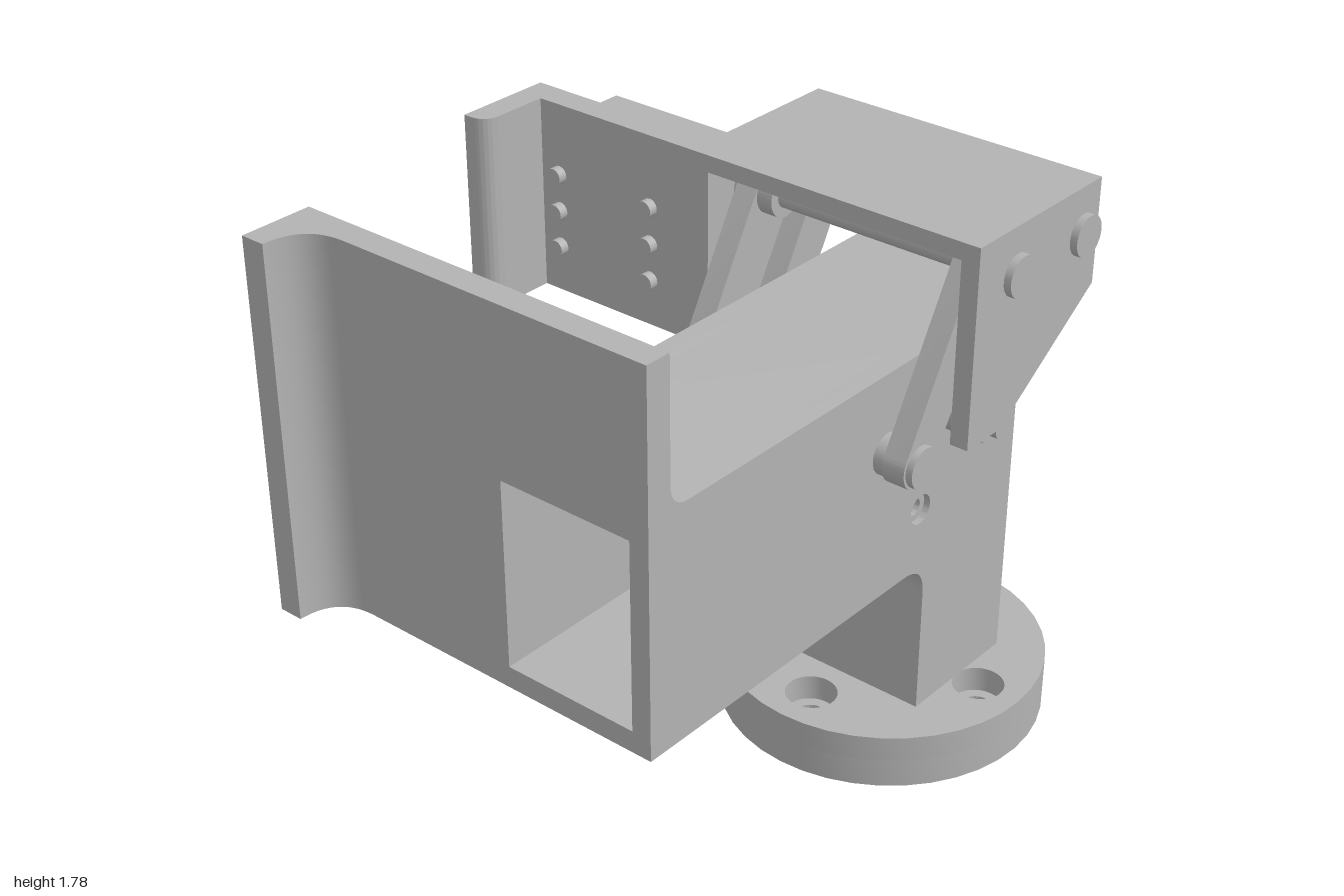
import * as THREE from 'three';
import { toCreasedNormals } from 'three/addons/utils/BufferGeometryUtils.js';

export function createModel() {
  const model = new THREE.Group();
  model.name = 'linkageGripper';
  const grey = new THREE.MeshStandardMaterial({ color: 0xb3b3b3 });
  grey.name = 'machined grey';

  const add = (name, geo) => {
    const m = new THREE.Mesh(geo, grey);
    m.name = name;
    model.add(m);
    return m;
  };
  // box given by its limits
  const box = (name, x0, x1, y0, y1, z0, z1) =>
    add(name, new THREE.BoxGeometry(x1 - x0, y1 - y0, z1 - z0)
      .translate((x0 + x1) / 2, (y0 + y1) / 2, (z0 + z1) / 2));
  // cylinder along z
  const pin = (name, x, y, z0, z1, r) =>
    add(name, new THREE.CylinderGeometry(r, r, z1 - z0, 28).rotateX(Math.PI / 2)
      .translate(x, y, (z0 + z1) / 2));
  // cylinder along x
  const pinX = (name, x0, x1, y, z, r) =>
    add(name, new THREE.CylinderGeometry(r, r, x1 - x0, 20).rotateZ(Math.PI / 2)
      .translate((x0 + x1) / 2, y, z));

  const circle = (x, y, r) => new THREE.Path().absarc(x, y, r, 0, Math.PI * 2, true);
  const poly = (pts) => new THREE.Shape(pts.map(([x, y]) => new THREE.Vector2(x, y)));
  const rectHole = (x0, x1, y0, y1) => new THREE.Path(
    [[x0, y0], [x0, y1], [x1, y1], [x1, y0]].map(([x, y]) => new THREE.Vector2(x, y)));
  const extrude = (shape, depth, holes = []) => {
    shape.holes.push(...holes);
    return toCreasedNormals(new THREE.ExtrudeGeometry(shape,
      { depth, bevelEnabled: false, curveSegments: 20 }), 0.6);
  };
  // profile in x,y pushed along z
  const alongZ = (name, shape, z0, z1, holes) =>
    add(name, extrude(shape, z1 - z0, holes).translate(0, 0, z0));
  // profile in x,z pushed along y
  const alongY = (name, shape, y0, y1, holes) =>
    add(name, extrude(shape, y1 - y0, holes).rotateX(Math.PI / 2).translate(0, y1, 0));
  // profile in z,y pushed along x
  const alongX = (name, shape, x0, x1, holes) =>
    add(name, extrude(shape, x1 - x0, holes).rotateY(-Math.PI / 2).translate(x1, 0, 0));

  // Round base flange with counterbored bolt holes
  const cx = 0.51, cz = 0.31;
  const disc = () => new THREE.Shape().absarc(cx, cz, 0.488, 0, Math.PI * 2, false);
  const bolts = (r) => [0, 1, 2, 3].map((i) =>
    circle(cx + 0.348 * Math.cos(i * Math.PI / 2), cz + 0.348 * Math.sin(i * Math.PI / 2), r));
  alongY('baseFlangeLower', disc(), 0, 0.09, [circle(cx, cz, 0.135), ...bolts(0.045)]);
  alongY('baseFlangeUpper', disc(), 0.09, 0.17, [circle(cx, cz, 0.135), ...bolts(0.077)]);

  // Hollow arm and column: two side walls, a floor and a roof
  const wall = (cut) => {
    const s = new THREE.Shape();
    s.moveTo(-0.78, 0.665);
    s.lineTo(0.2, 0.665);
    s.quadraticCurveTo(0.3, 0.665, 0.3, 0.565);
    s.lineTo(0.3, 0.17);
    s.lineTo(0.715, 0.17);
    if (cut) {
      s.lineTo(0.715, 0.96);
      s.lineTo(0.3, 0.96);
      s.lineTo(0.3, 1.29);
      s.lineTo(0.715, 1.29);
    }
    s.lineTo(0.715, 1.36);
    s.lineTo(-0.71, 1.36);
    s.quadraticCurveTo(-0.78, 1.36, -0.78, 1.43);
    s.closePath();
    return s;
  };
  const screwHoles = (r) => [circle(0.265, 0.86, r), circle(0.265, 1.13, r)];
  alongZ('frontWallOuter', wall(false), 0.565, 0.585, screwHoles(0.045));
  alongZ('frontWallInner', wall(false), 0.525, 0.565, screwHoles(0.025));
  alongZ('backWall', wall(true), 0.025, 0.105, screwHoles(0.025));
  const floor = new THREE.Shape();
  floor.moveTo(-0.78, 0.665);
  floor.lineTo(0.2, 0.665);
  floor.quadraticCurveTo(0.3, 0.665, 0.3, 0.565);
  floor.lineTo(0.3, 0.17);
  floor.lineTo(0.715, 0.17);
  floor.lineTo(0.715, 0.69);
  floor.lineTo(0.32, 0.69);
  floor.lineTo(0.32, 0.73);
  floor.lineTo(-0.78, 0.73);
  alongZ('armFloor', floor, 0.105, 0.525);
  const roof = new THREE.Shape();
  roof.moveTo(-0.78, 1.29);
  roof.lineTo(0.715, 1.29);
  roof.lineTo(0.715, 1.36);
  roof.lineTo(-0.71, 1.36);
  roof.quadraticCurveTo(-0.78, 1.36, -0.78, 1.43);
  alongZ('armRoof', roof, 0.105, 0.525);

  // Fixed end plate with its window, hooked rear edge and fillet to the arm
  alongX('endPlate', poly([[0.025, 0.665], [0.585, 0.665], [0.585, 1.78], [0.025, 1.78]]),
    -0.86, -0.78, [rectHole(0.105, 0.525, 0.73, 1.29)]);
  const hook = new THREE.Shape();
  hook.moveTo(-0.78, 0.025);
  hook.lineTo(-0.86, 0.025);
  hook.lineTo(-0.86, -0.4);
  hook.quadraticCurveTo(-0.86, -0.54, -1, -0.54);
  hook.lineTo(-1, -0.615);
  hook.lineTo(-0.78, -0.615);
  alongY('endPlateHook', hook, 0.665, 1.78);
  const fillet = new THREE.Shape();
  fillet.moveTo(-0.78, 0.025);
  fillet.lineTo(-0.78, -0.045);
  fillet.quadraticCurveTo(-0.78, 0.025, -0.71, 0.025);
  alongY('endPlateFillet', fillet, 0.665, 1.36);

  // Servo with mounting ears, held between two blocks
  box('servoBody', 0.3, 0.5, 0.81, 1.2, 0.1, 0.475);
  box('servoEars', 0.3, 0.5, 0.735, 1.285, 0.2, 0.225);
  box('lowerServoMount', 0.32, 0.715, 0.69, 0.81, 0.225, 0.37);
  box('upperServoMount', 0.32, 0.715, 1.2, 1.29, 0.225, 0.37);
  pin('servoShaft', 0.4, 1.115, 0.05, 0.1, 0.06);
  const horn = new THREE.Shape().absarc(0.4, 1.115, 0.135, 0, Math.PI * 2, false);
  const hornHoles = [circle(0.4, 1.115, 0.03)];
  for (let i = 0; i < 4; i++) {
    const a = Math.PI / 4 + i * Math.PI / 2;
    hornHoles.push(circle(0.4 + 0.085 * Math.cos(a), 1.115 + 0.085 * Math.sin(a), 0.022));
  }
  alongZ('servoHorn', horn, -0.05, 0.055, hornHoles);

  // Moving cover: top slab and two chamfered cheeks
  const cheek = () => poly([[0.183, 1.155], [0.335, 1.155], [0.745, 1.43], [0.745, 1.74], [0.183, 1.74]]);
  alongZ('frontCheek', cheek(), 0.72, 0.775);
  alongZ('backCheek', cheek(), -0.165, -0.105);
  box('coverTop', 0.183, 0.745, 1.69, 1.74, -0.105, 0.72);

  // Moving jaw plate with hooked end
  const jaw = new THREE.Shape();
  jaw.moveTo(0.183, -0.165);
  jaw.lineTo(0.183, -0.72);
  jaw.lineTo(0.02, -0.72);
  jaw.quadraticCurveTo(-0.04, -0.72, -0.04, -0.78);
  jaw.lineTo(-0.04, -0.8);
  jaw.lineTo(0.268, -0.8);
  jaw.lineTo(0.268, -0.2);
  jaw.quadraticCurveTo(0.268, -0.165, 0.3, -0.165);
  alongY('jawPlate', jaw, 1.158, 1.74);

  // Actuator box on the jaw, with screws, nose block and shaft
  const boltSpots = [];
  for (const z of [-0.63, -0.32]) for (const y of [1.295, 1.605]) boltSpots.push(circle(z, y, 0.023));
  alongX('actuatorBox', poly([[-0.7, 1.24], [-0.255, 1.24], [-0.255, 1.66], [-0.7, 1.66]]),
    0.268, 0.48, boltSpots);
  alongY('noseBlock', poly([[0.48, -0.53], [0.615, -0.53], [0.615, -0.42], [0.48, -0.42]]),
    1.39, 1.555, [circle(0.525, -0.48, 0.025)]);
  pinX('noseShaft', 0.615, 0.7, 1.47, -0.475, 0.027);
  for (const z of [-0.655, -0.315])
    for (const y of [1.3, 1.412, 1.525]) pinX('jawScrew', 0.155, 0.183, y, z, 0.026);

  // Parallel links: slanted bars with rounded ends
  const tilt = Math.atan2(0.48, 0.27);
  const link = (name, x, z0, z1) => {
    const s = new THREE.Shape();
    s.absarc(x, 1.12, 0.068, tilt + Math.PI / 2, tilt + Math.PI * 1.5, false);
    s.absarc(x + 0.27, 1.6, 0.068, tilt - Math.PI / 2, tilt + Math.PI / 2, false);
    alongZ(name, s, z0, z1);
  };
  for (const x of [0.09, 0.4]) {
    const top = x + 0.27;
    link('frontLink', x, 0.62, 0.69);
    link('backLink', x, -0.095, -0.025);
    // upper rod, bosses and heads
    pin('upperRod', top, 1.6, -0.2, 0.775, 0.035);
    pin('upperRodHead', top, 1.6, 0.775, 0.797, 0.06);
    pin('frontUpperBoss', top, 1.6, 0.615, 0.72, 0.065);
    pin('backUpperBoss', top, 1.6, -0.105, 0.025, 0.065);
    pin('upperRodCollar', top, 1.6, -0.182, -0.165, 0.055);
    // lower pivots
    pin('frontSpacer', x, 1.12, 0.585, 0.62, 0.06);
    pin('backSpacer', x, 1.12, -0.025, 0.025, 0.06);
    pin('frontPivotHead', x, 1.12, 0.69, 0.71, 0.06);
    pin('backPivotWasher', x, 1.12, -0.115, -0.095, 0.055);
    pin('backPivotScrew', x, 1.12, -0.142, -0.115, 0.035);
  }
  pin('frontPivotScrew', 0.4, 1.12, 0.5, 0.745, 0.035);
  pin('crossbar', 0.615, 1.51, 0.0, 0.64, 0.05);

  return model;
}
